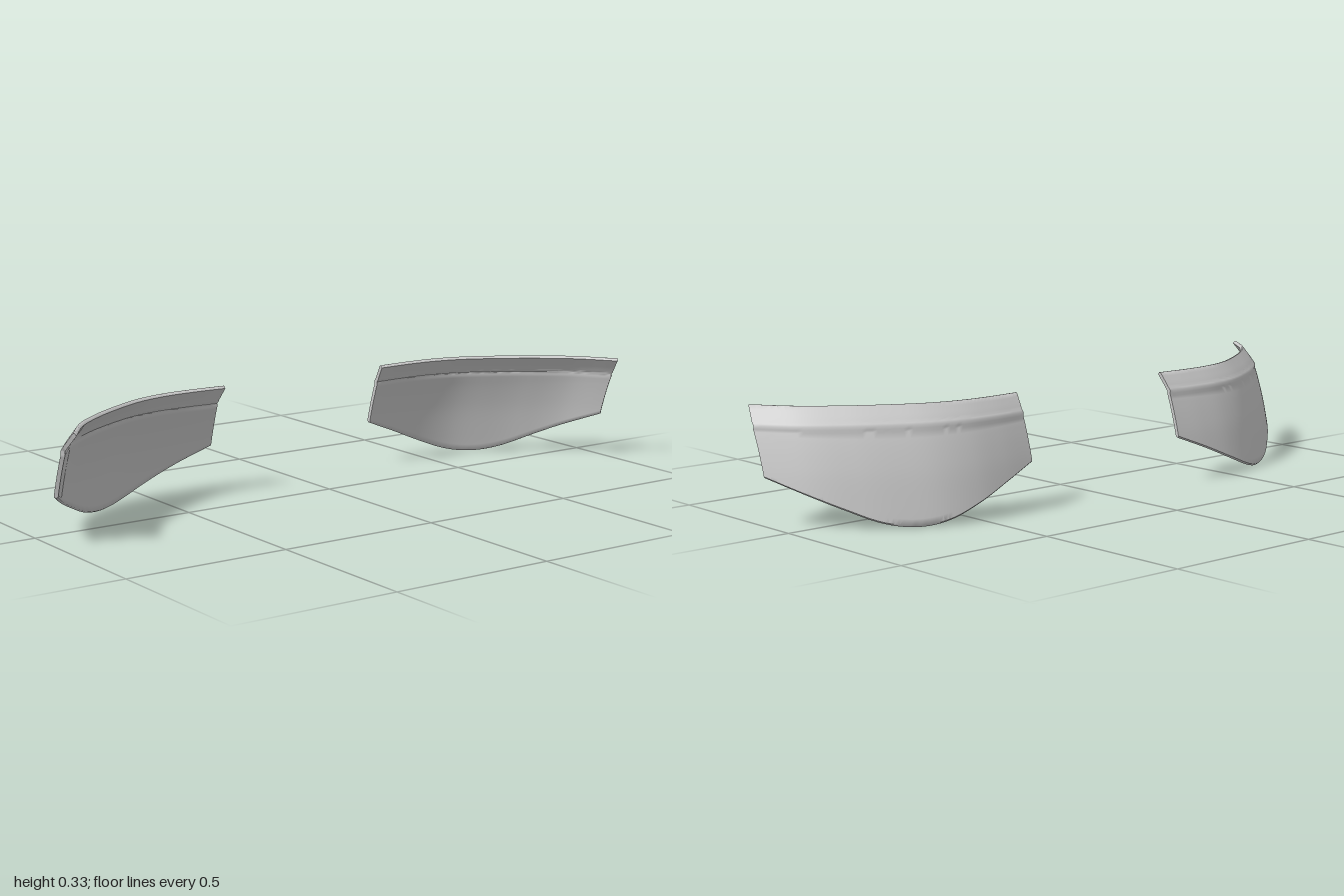
import * as THREE from 'three';
import { toCreasedNormals } from 'three/addons/utils/BufferGeometryUtils.js';

// Smooth interpolation through [x, value] pairs sorted by x
function curve(pts, x) {
  let i = 0;
  while (i < pts.length - 2 && x > pts[i + 1][0]) i++;
  const slope = (k) => {
    const a = pts[Math.max(k - 1, 0)], b = pts[Math.min(k + 1, pts.length - 1)];
    return (b[1] - a[1]) / (b[0] - a[0]);
  };
  const [x0, y0] = pts[i], [x1, y1] = pts[i + 1];
  const h = x1 - x0, t = (x - x0) / h, t2 = t * t, t3 = t2 * t;
  return (2 * t3 - 3 * t2 + 1) * y0 + (t3 - 2 * t2 + t) * h * slope(i)
    + (3 * t2 - 2 * t3) * y1 + (t3 - t2) * h * slope(i + 1);
}

const X0 = 0.29, X1 = 0.98, TOP = 0.327, HALF = 0.006;

// Plan line of the top edge: x -> z
const PLAN = [[0.29, -0.13], [0.4, -0.135], [0.5, -0.129], [0.6, -0.102],
  [0.7, -0.05], [0.8, 0.015], [0.9, 0.1], [0.98, 0.207]];
// Lower outline: x -> y
const LOWER = [[0.29, 0.14], [0.4, 0.096], [0.5, 0.053], [0.6, 0.015], [0.68, 0.004],
  [0.76, 0.018], [0.84, 0.056], [0.91, 0.095], [0.98, 0.14]];
// Backward lean with the small bead below the flared lip: y -> offset
const LEAN = [[0, 0.1], [0.05, 0.091], [0.14, 0.073], [0.2, 0.057], [0.25, 0.041],
  [0.266, 0.035], [0.275, 0.036], [0.283, 0.029], [0.29, 0.025], [0.327, 0]];
const LIP_ROWS = [TOP, 0.315, 0.302, 0.29, 0.286, 0.283, 0.279, 0.275, 0.27, 0.266, 0.258];

const NU = 56, BODY_ROWS = 14;
const M = LIP_ROWS.length + BODY_ROWS - 1; // last row index

// Middle surface of the panel; u runs outward, y is the height
function surface(u, y) {
  const x = X0 + (X1 - X0) * u;
  const lean = curve(LEAN, y);
  const shift = (0.007 + 0.007 * u) * Math.min(1, lean / 0.03);
  return new THREE.Vector3(x + shift, y, curve(PLAN, x) - lean * (1 + 0.22 * u));
}

function rowHeight(u, j) {
  if (j < LIP_ROWS.length) return LIP_ROWS[j];
  const start = LIP_ROWS[LIP_ROWS.length - 1];
  const low = curve(LOWER, X0 + (X1 - X0) * u);
  return start + (low - start) * (j - LIP_ROWS.length + 1) / BODY_ROWS;
}

// Closed cross-section: convex face down, rounded rim, concave face up
function section(u) {
  const outer = [], inner = [], e = 0.002;
  const mid = (j) => surface(u, rowHeight(u, j));
  for (let j = 0; j <= M; j++) {
    const y = rowHeight(u, j);
    const du = surface(Math.min(u + e, 1), y).sub(surface(Math.max(u - e, 0), y));
    const dv = surface(u, Math.max(y - e, 0)).sub(surface(u, Math.min(y + e, TOP)));
    const n = du.cross(dv).normalize().multiplyScalar(HALF);
    const p = surface(u, y);
    outer.push(p.clone().add(n));
    inner.unshift(p.clone().sub(n));
  }
  const bottomRim = mid(M), topRim = mid(0);
  bottomRim.y -= 0.004;
  topRim.y += 0.003;
  return [...outer, bottomRim, ...inner, topRim];
}

function panelGeometry(side) {
  const R = 2 * M + 4, pos = [], idx = [];
  const tri = (a, b, c) => (side > 0 ? idx.push(a, b, c) : idx.push(a, c, b));
  for (let i = 0; i <= NU; i++) {
    for (const p of section(i / NU)) pos.push(side * p.x, p.y, p.z);
  }
  // Skin between neighbouring sections
  for (let i = 0; i < NU; i++) {
    for (let j = 0; j < R; j++) {
      const a = i * R + j, b = i * R + (j + 1) % R;
      tri(a, a + R, b + R);
      tri(a, b + R, b);
    }
  }
  // End caps
  for (const [o, flip] of [[0, false], [NU * R, true]]) {
    const cap = (a, b, c) => (flip ? tri(o + a, o + c, o + b) : tri(o + a, o + b, o + c));
    for (let j = 0; j < M; j++) {
      cap(j, j + 1, R - 3 - j);
      cap(j, R - 3 - j, R - 2 - j);
    }
    cap(M, M + 1, M + 2);
    cap(R - 2, R - 1, 0);
  }
  const g = new THREE.BufferGeometry();
  g.setAttribute('position', new THREE.Float32BufferAttribute(pos, 3));
  g.setIndex(idx);
  return toCreasedNormals(g, Math.PI / 3);
}

export function createModel() {
  const group = new THREE.Group();
  const material = new THREE.MeshStandardMaterial({ color: 0xcccccc });
  for (const [name, side] of [['leftCurvedPanel', 1], ['rightCurvedPanel', -1]]) {
    const mesh = new THREE.Mesh(panelGeometry(side), material);
    mesh.name = name;
    group.add(mesh);
  }
  return group;
}
